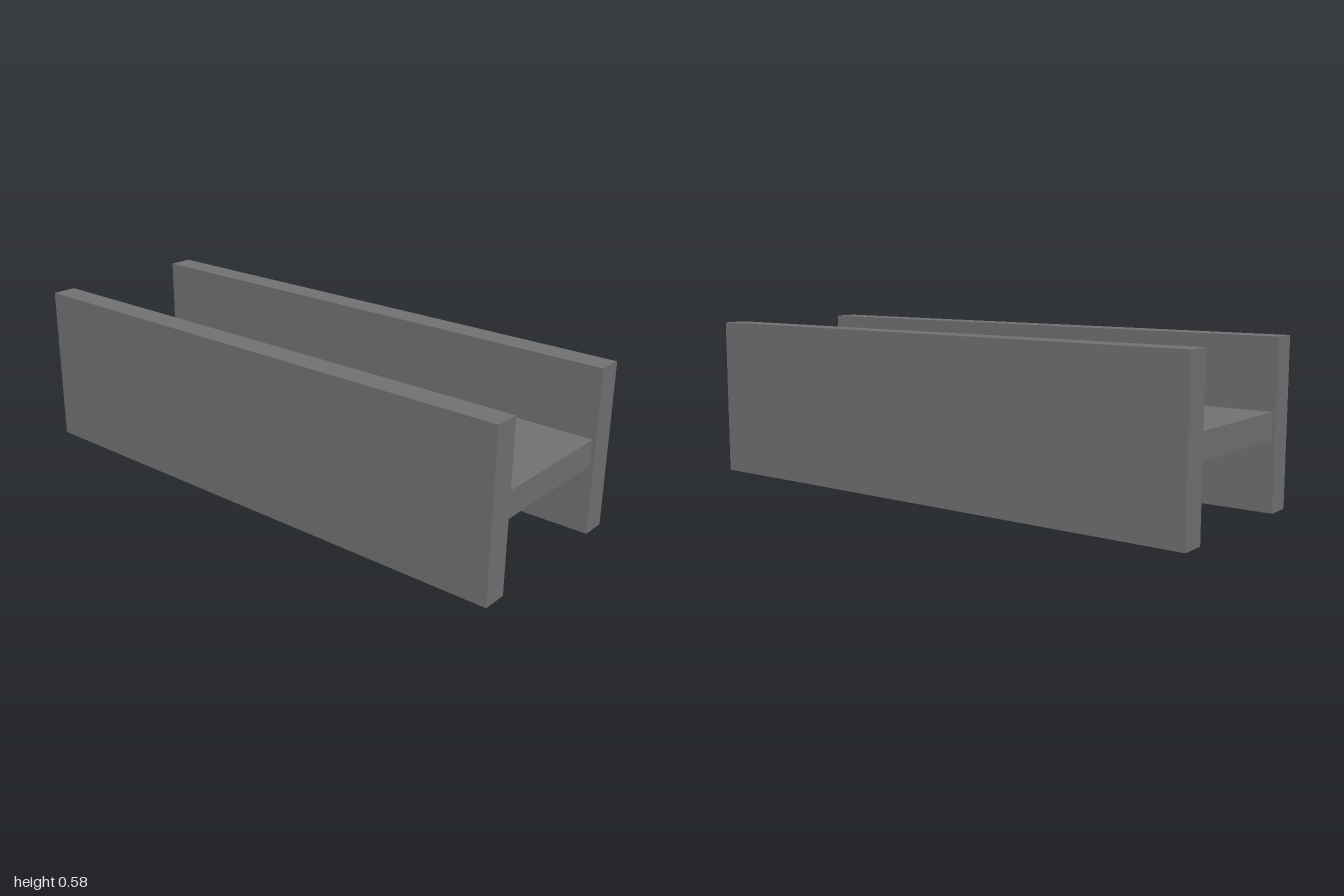
import * as THREE from 'three';

export function createModel() {
  const group = new THREE.Group();
  group.name = 'hBeam';
  const steel = new THREE.MeshStandardMaterial({ name: 'dark grey steel', color: 0x707070 });

  const height = 0.583;
  const thickness = 0.092;
  const outerX = 0.35;

  function plate(name, w, h, d, x, y) {
    const mesh = new THREE.Mesh(new THREE.BoxGeometry(w, h, d), steel);
    mesh.name = name;
    mesh.position.set(x, y, 0);
    group.add(mesh);
  }

  // Upright flanges on both sides
  for (const [name, side] of [['leftFlange', 1], ['rightFlange', -1]]) {
    plate(name, thickness, height, 2, side * (outerX - thickness / 2), height / 2);
  }

  // Horizontal web, slightly shorter than the flanges
  plate('web', 2 * (outerX - thickness), thickness, 1.976, 0, height / 2);

  return group;
}
